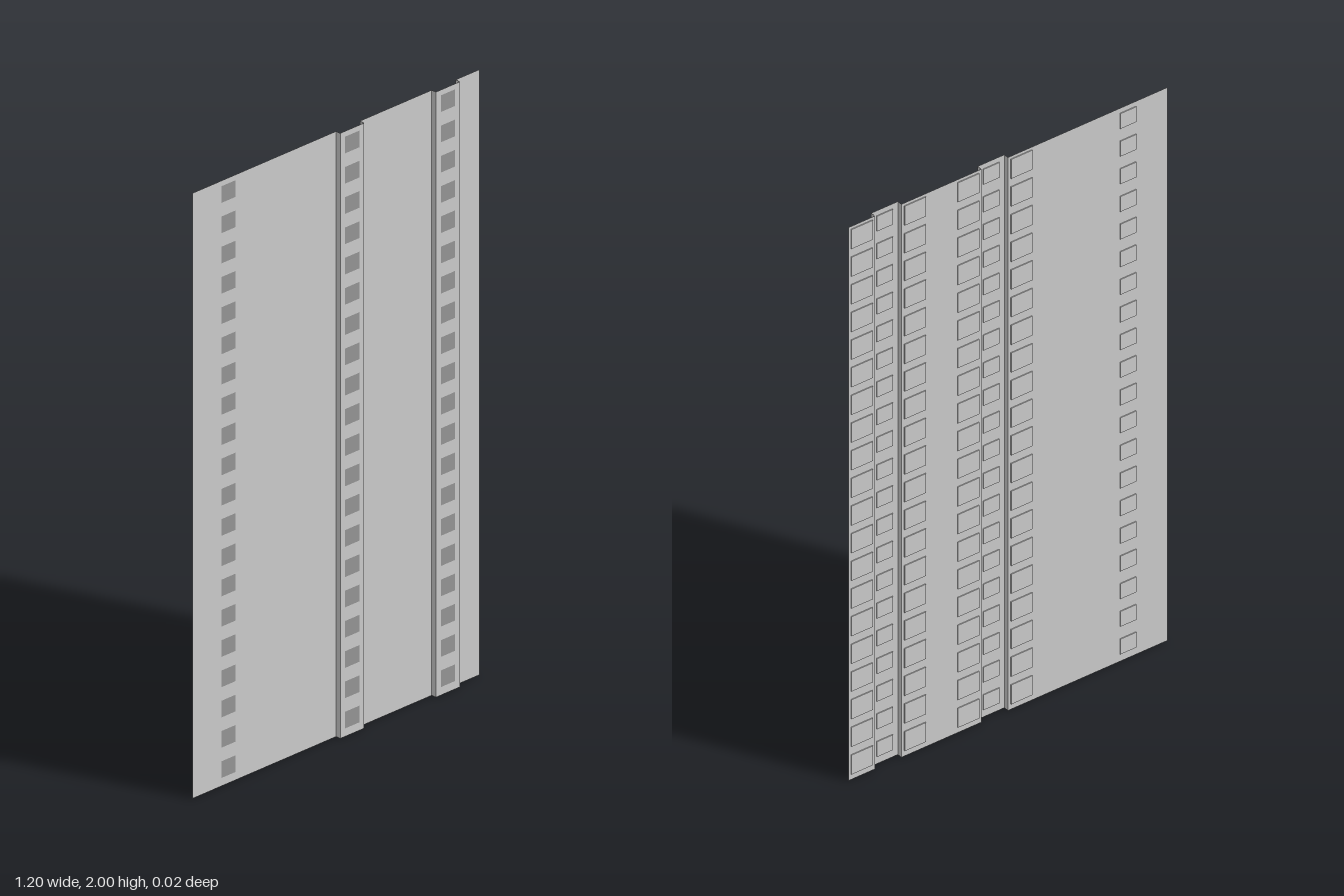
import * as THREE from 'three';

const HEIGHT = 2, FLOORS = 20, STEP = HEIGHT / FLOORS;
const BACK = -0.0076, FRONT = 0.0106, DEPTH = 0.003;

// Upright sheet swept from a plan polyline of [x, z] points, hard-edged
function foldedSheet(plan) {
  const pos = [], index = [];
  for (let i = 0; i < plan.length - 1; i++) {
    const [x0, z0] = plan[i], [x1, z1] = plan[i + 1], n = i * 4;
    pos.push(x0, 0, z0, x1, 0, z1, x1, HEIGHT, z1, x0, HEIGHT, z0);
    index.push(n, n + 1, n + 2, n, n + 2, n + 3);
  }
  const geo = new THREE.BufferGeometry();
  geo.setAttribute('position', new THREE.Float32BufferAttribute(pos, 3));
  geo.setIndex(index);
  geo.computeVertexNormals();
  return geo;
}

export function createModel() {
  const model = new THREE.Group();
  model.name = 'facadePanel';
  const grey = new THREE.MeshStandardMaterial({ color: 0xcccccc, side: THREE.DoubleSide });
  const dark = new THREE.MeshStandardMaterial({ color: 0x959595 });

  // Wall with two forward-stepped vertical bays
  const wall = new THREE.Mesh(foldedSheet([
    [-0.6, BACK], [0, BACK], [0, FRONT], [0.1, FRONT], [0.1, BACK],
    [0.4, BACK], [0.4, FRONT], [0.5, FRONT], [0.5, BACK], [0.6, BACK],
  ]), grey);
  wall.name = 'wall';
  model.add(wall);

  // One column of shallow window boxes behind the wall, optionally with dark panes
  function windowColumn(name, x, z, width, bottom, top, glazed) {
    const column = new THREE.Group();
    column.name = name;
    const height = top - bottom;
    const boxGeo = new THREE.BoxGeometry(width, height, DEPTH);
    const paneGeo = new THREE.PlaneGeometry(width, height);
    for (let i = 0; i < FLOORS; i++) {
      const y = i * STEP + (bottom + top) / 2;
      const box = new THREE.Mesh(boxGeo, grey);
      box.name = 'windowBox';
      box.position.set(x, y, z - DEPTH / 2 - 0.0001);
      column.add(box);
      if (!glazed) continue;
      const pane = new THREE.Mesh(paneGeo, dark);
      pane.name = 'windowPane';
      pane.position.set(x, y, z + 0.0005);
      column.add(pane);
    }
    model.add(column);
  }

  // Small glazed windows: one column on the wall, one on each bay
  for (const [x, z] of [[-0.45, BACK], [0.05, FRONT], [0.45, FRONT]])
    windowColumn('smallWindows', x, z, 0.06, 0.027, 0.082, true);

  // Wide boxes beside the bays
  for (const x of [-0.05, 0.15, 0.35, 0.55])
    windowColumn('wideWindows', x, BACK, 0.08, 0.02, 0.09, false);

  return model;
}
